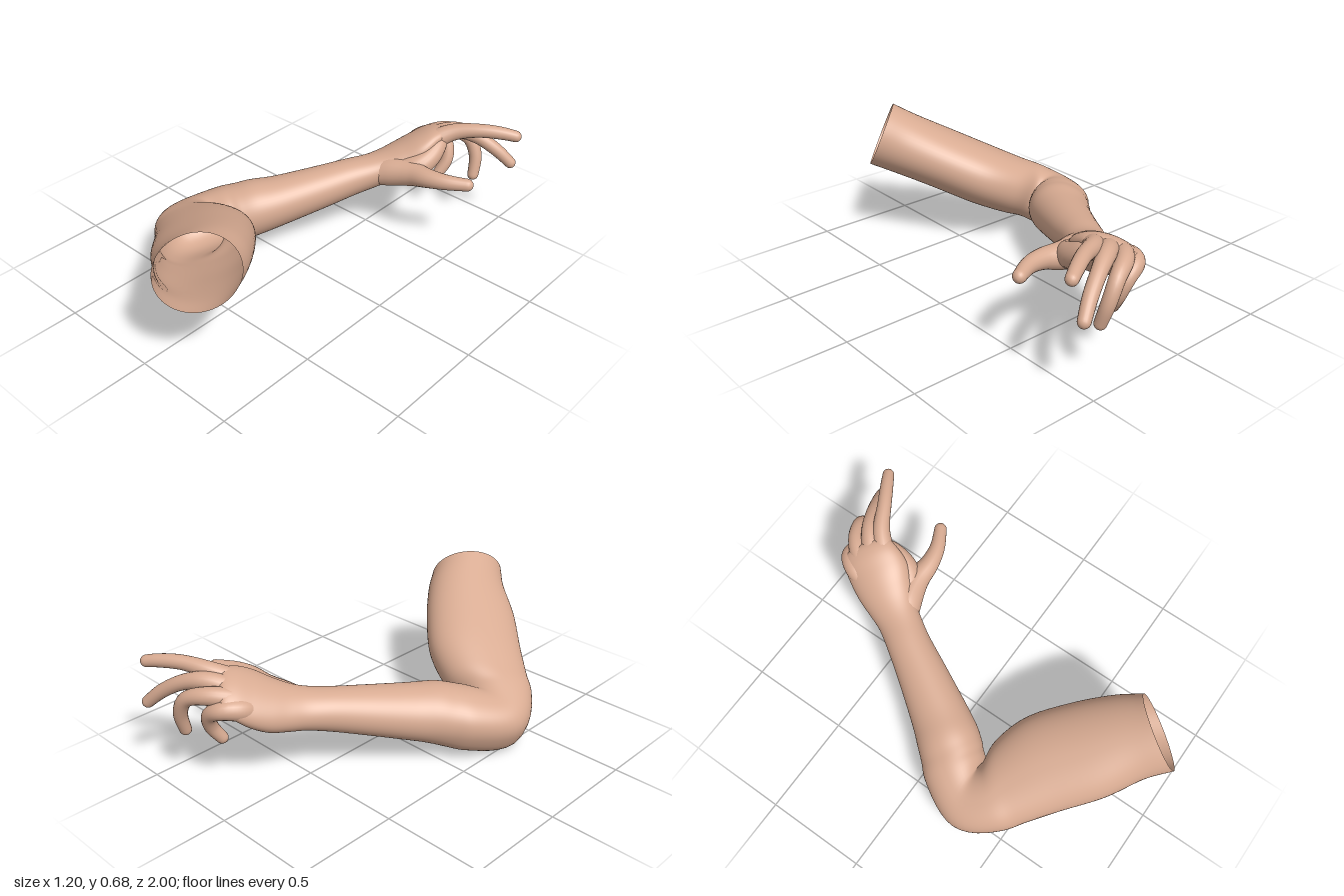
import * as THREE from 'three';

const V = (a) => new THREE.Vector3(...a);
const squared = (x, e) => Math.sign(x) * Math.abs(x) ** e;

// Skin a closed-section surface over n+1 rings; ringAt(i) gives centre, two half-axes
// and the squareness of the inner and outer halves (1 is a plain ellipse)
function loft(n, sides, ringAt) {
  const pos = [], idx = [];
  for (let i = 0; i <= n; i++) {
    const { c, a, b, inner = 1, outer = 1 } = ringAt(i);
    for (let j = 0; j < sides; j++) {
      const t = (j / sides) * Math.PI * 2;
      const e = Math.cos(t) > 0 ? inner : outer;
      const p = c.clone().addScaledVector(a, squared(Math.cos(t), e)).addScaledVector(b, squared(Math.sin(t), e));
      pos.push(p.x, p.y, p.z);
      if (i < n) {
        const k = i * sides, j2 = (j + 1) % sides;
        idx.push(k + j, k + j2, k + sides + j, k + j2, k + sides + j2, k + sides + j);
      }
    }
  }
  const g = new THREE.BufferGeometry();
  g.setAttribute('position', new THREE.Float32BufferAttribute(pos, 3));
  g.setIndex(idx);
  g.computeVertexNormals();
  return g;
}

// Tapered tube rounded at both ends
function digit(points, radii) {
  const n = 48;
  const curve = new THREE.CatmullRomCurve3(points.map(V));
  const size = new THREE.CatmullRomCurve3(radii.map((r) => new THREE.Vector3(r, 0, 0)), false, 'catmullrom', 0.5);
  const frames = curve.computeFrenetFrames(400, false);
  const length = curve.getLength();
  const base = radii[0] / length, tip = radii[radii.length - 1] / length;
  return loft(n, 20, (i) => {
    const t = (1 - Math.cos((Math.PI * i) / n)) / 2;
    const f = Math.round(t * 400);
    const k = Math.max(0, (t - 1 + tip) / tip, (base - t) / base);
    const r = size.getPoint(t).x * Math.sqrt(Math.max(1 - k * k, 0.0004));
    return {
      c: curve.getPointAt(t),
      a: frames.normals[f].clone().multiplyScalar(r),
      b: frames.binormals[f].clone().multiplyScalar(r),
    };
  });
}

export function createModel() {
  const model = new THREE.Group();
  const skin = new THREE.MeshStandardMaterial({ color: 0xd8ab92, side: THREE.DoubleSide });
  skin.name = 'skin';
  const add = (name, geo) => {
    const m = new THREE.Mesh(geo, skin);
    m.name = name;
    model.add(m);
  };

  // Bend plane of the elbow: u runs up the upper arm, v down the forearm, hinge is the axis
  const u = V([0.7, 0.39, 0.58]).normalize();
  const hinge = V([-0.424, 0.887, -0.085]).normalize();
  const v = hinge.clone().cross(u).normalize();

  // Centre x, y, z, half-width in the bend plane, half-width along the hinge, turn in degrees
  const rings = [
    [0.217, 0.52, 0.85, 0.186, 0.165, 0],
    [0.134, 0.472, 0.747, 0.203, 0.157, 0],
    [0, 0.396, 0.626, 0.23, 0.153, 0],
    [-0.147, 0.31, 0.49, 0.232, 0.152, 0],
    [-0.285, 0.236, 0.406, 0.205, 0.147, 0],
    [-0.385, 0.187, 0.37, 0.168, 0.144, 6],
    [-0.436, 0.15, 0.27, 0.168, 0.143, 45],
    [-0.373, 0.178, 0.143, 0.157, 0.143, 80],
    [-0.322, 0.196, 0.085, 0.154, 0.141, 90],
    [-0.274, 0.216, 0.022, 0.152, 0.137, 90],
    [-0.208, 0.235, -0.078, 0.14, 0.123, 90],
    [-0.1, 0.274, -0.257, 0.12, 0.106, 90],
    [-0.025, 0.303, -0.387, 0.108, 0.094, 90],
    [0.032, 0.322, -0.48, 0.108, 0.086, 90],
    [0.07, 0.34, -0.55, 0.12, 0.086, 90],
    [0.112, 0.368, -0.622, 0.14, 0.09, 90],
    [0.155, 0.412, -0.692, 0.152, 0.083, 90],
    [0.184, 0.456, -0.758, 0.142, 0.064, 90],
    [0.208, 0.478, -0.808, 0.112, 0.042, 90],
    [0.218, 0.484, -0.83, 0.004, 0.003, 90],
  ];
  const path = new THREE.CatmullRomCurve3(rings.map((r) => V(r.slice(0, 3))), false, 'catmullrom', 0.5);
  const shape = new THREE.CatmullRomCurve3(rings.map((r) => V(r.slice(3))), false, 'catmullrom', 0.5);
  const steps = (rings.length - 1) * 6;

  // Open upper arm, elbow, forearm and palm in one skin, fuller on the outside around the elbow
  add('armAndPalm', loft(steps, 56, (i) => {
    const s = shape.getPoint(i / steps);
    const turn = THREE.MathUtils.degToRad(s.z);
    const inward = v.clone().multiplyScalar(Math.cos(turn)).addScaledVector(u, Math.sin(turn));
    const full = Math.sin(Math.PI * Math.min(1, (2 * i) / steps));
    return {
      c: path.getPoint(i / steps),
      a: inward.multiplyScalar(Math.max(s.x, 0.002)),
      b: hinge.clone().multiplyScalar(-Math.max(s.y, 0.002)),
      inner: 1 - 0.06 * full,
      outer: 1 - 0.22 * full,
    };
  }));

  // Fingers rooted deep in the palm, from nearly straight to most curled
  const fingerRadii = [0.04, 0.05, 0.042, 0.035, 0.032, 0.027];
  const fingers = {
    indexFinger: [[0.18, 0.42, -0.63], [0.24, 0.482, -0.715], [0.31, 0.526, -0.783], [0.42, 0.55, -0.845], [0.52, 0.547, -0.905], [0.594, 0.533, -0.95]],
    middleFinger: [[0.155, 0.41, -0.66], [0.205, 0.472, -0.76], [0.285, 0.507, -0.835], [0.37, 0.488, -0.885], [0.47, 0.425, -0.935], [0.556, 0.34, -0.983]],
    ringFinger: [[0.125, 0.395, -0.68], [0.155, 0.45, -0.79], [0.22, 0.471, -0.872], [0.31, 0.441, -0.922], [0.358, 0.355, -0.928], [0.377, 0.226, -0.893]],
    littleFinger: [[0.095, 0.38, -0.7], [0.105, 0.416, -0.795], [0.142, 0.424, -0.86], [0.205, 0.387, -0.88], [0.233, 0.31, -0.86], [0.212, 0.216, -0.803]],
  };
  for (const [name, pts] of Object.entries(fingers)) add(name, digit(pts, fingerRadii));

  // Thumb with its fleshy base merging into the wrist
  add('thumb', digit(
    [[0.04, 0.325, -0.46], [0.14, 0.35, -0.515], [0.25, 0.37, -0.537], [0.35, 0.387, -0.532], [0.44, 0.395, -0.55], [0.56, 0.397, -0.612]],
    [0.06, 0.074, 0.063, 0.047, 0.036, 0.029],
  ));

  // Flesh between thumb and index finger
  add('thumbWeb', digit(
    [[0.15, 0.36, -0.54], [0.24, 0.39, -0.58], [0.27, 0.428, -0.645], [0.262, 0.475, -0.725], [0.225, 0.475, -0.765]],
    [0.055, 0.062, 0.056, 0.048, 0.04],
  ));

  return model;
}
